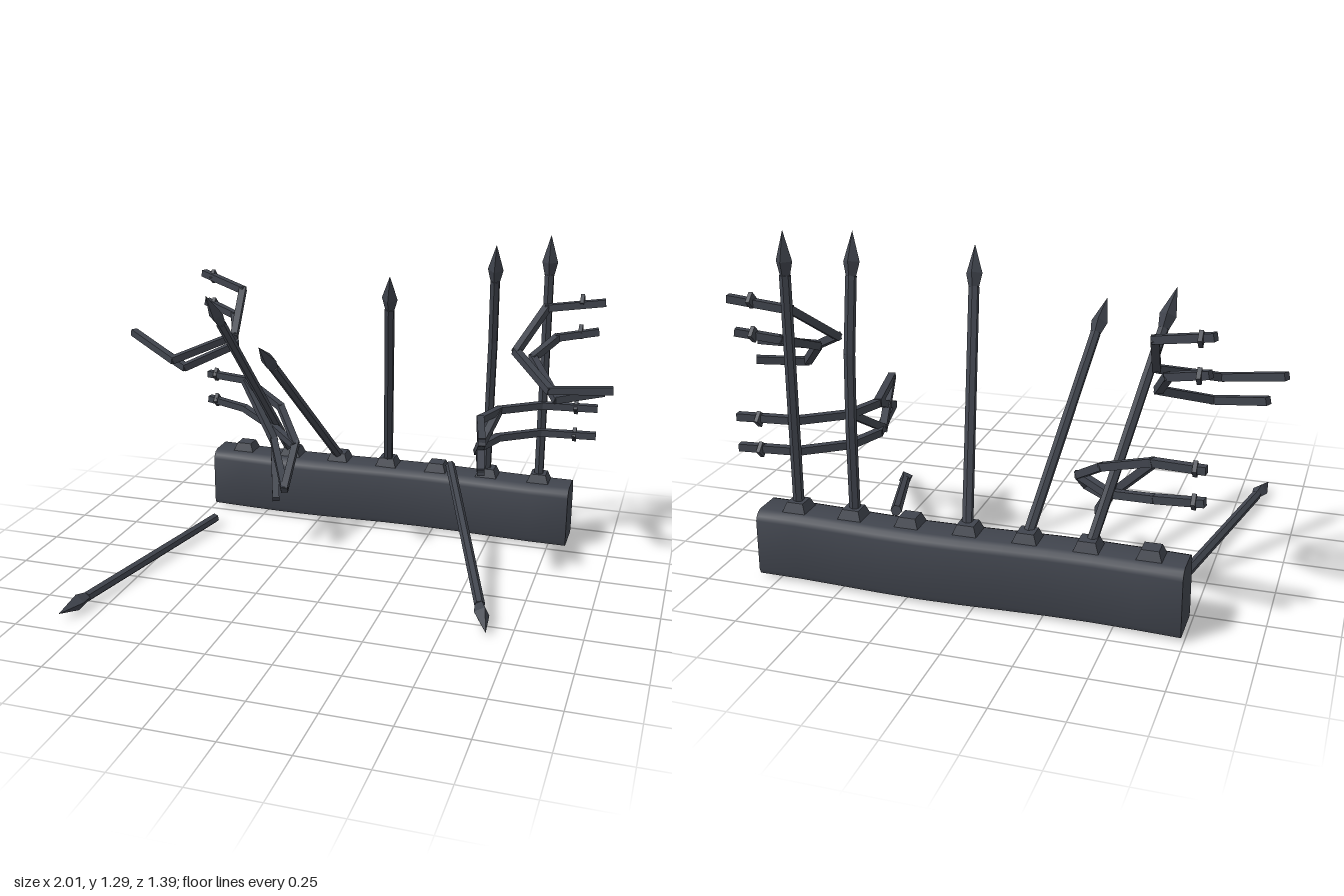
import * as THREE from 'three';
import { toCreasedNormals, mergeVertices } from 'three/addons/utils/BufferGeometryUtils.js';

const iron = new THREE.MeshStandardMaterial({ color: 0x40444d });
iron.name = 'darkIron';

const V = (p) => new THREE.Vector3(...p);
const UP = new THREE.Vector3(0, 1, 0);

function flat(geometry) {
  const g = geometry.index ? geometry.toNonIndexed() : geometry;
  g.computeVertexNormals();
  return g;
}

function part(name, geometry, parent) {
  const mesh = new THREE.Mesh(geometry, iron);
  mesh.name = name;
  parent.add(mesh);
  return mesh;
}

// Spear: hexagonal shaft along a path, with a four-sided head at the last point
function spear(path, parent) {
  const group = new THREE.Group();
  group.name = 'spear';
  const pts = path.map(V);
  const tip = pts[pts.length - 1];
  const dir = tip.clone().sub(pts[pts.length - 2]).normalize();
  const neck = tip.clone().addScaledVector(dir, -0.16);
  pts[pts.length - 1] = neck;
  for (let i = 0; i + 1 < pts.length; i++) {
    const d = pts[i + 1].clone().sub(pts[i]);
    const shaft = part('spearShaft', flat(new THREE.CylinderGeometry(0.02, 0.02, d.length() + 0.005, 6)), group);
    shaft.position.copy(pts[i]).addScaledVector(d, 0.5);
    shaft.quaternion.setFromUnitVectors(UP, d.normalize());
  }
  const profile = [[0, 0], [0.019, 0], [0.031, 0.052], [0, 0.16]].map((p) => new THREE.Vector2(...p));
  const head = part('spearHead', flat(new THREE.LatheGeometry(profile, 4)), group);
  head.position.copy(neck);
  head.quaternion.setFromUnitVectors(UP, dir);
  parent.add(group);
}

// Square bar bent through a list of points
function bar(name, path, parent, size = 0.028) {
  const group = new THREE.Group();
  group.name = name;
  const pts = path.map(V);
  for (let i = 0; i + 1 < pts.length; i++) {
    const d = pts[i + 1].clone().sub(pts[i]);
    const seg = part('barSegment', new THREE.BoxGeometry(size, size, d.length() + size * 0.5), group);
    seg.position.copy(pts[i]).addScaledVector(d, 0.5);
    seg.lookAt(pts[i + 1]);
  }
  parent.add(group);
}

// Long low wall with rounded top edges and a slight bend
function wallGeometry() {
  const w = 0.085, y0 = 0.012, y1 = 0.258, c = 0.035;
  const s = new THREE.Shape();
  s.moveTo(-w + 0.008, y0);
  s.lineTo(w - 0.008, y0);
  s.lineTo(w, y0 + 0.02);
  s.lineTo(w, y1 - c);
  s.quadraticCurveTo(w - 0.006, y1 - 0.006, w - c, y1);
  s.lineTo(-w + c, y1);
  s.quadraticCurveTo(-w + 0.006, y1 - 0.006, -w, y1 - c);
  s.lineTo(-w, y0 + 0.02);
  s.closePath();
  let g = new THREE.ExtrudeGeometry(s, { depth: 1.565, steps: 10, bevelEnabled: false, curveSegments: 3 });
  g.rotateY(Math.PI / 2);
  g.translate(-0.74, 0, -0.608);
  const p = g.attributes.position;
  for (let i = 0; i < p.count; i++) p.setZ(i, p.getZ(i) + 0.01 * Math.cos((p.getX(i) + 0.38) * 5.5));
  g.deleteAttribute('uv');
  g.deleteAttribute('normal');
  g = mergeVertices(g, 1e-4);
  return toCreasedNormals(g, 0.9);
}

export function createModel() {
  const root = new THREE.Group();
  root.name = 'brokenFence';
  part('wall', wallGeometry(), root);

  // Tapered sockets along the top, each with a small raised seat
  for (let i = 0; i < 7; i++) {
    const x = -0.615 + i * 0.2175;
    const foot = part('socket', flat(new THREE.CylinderGeometry(0.044, 0.066, 0.04, 4).rotateY(Math.PI / 4)), root);
    foot.position.set(x, 0.272, -0.607);
  }

  // Spears: fallen, leaning, bent and upright
  const spears = [
    [[-0.66, 0.028, -0.325], [-0.857, 0.028, 0.685]],
    [[-0.405, 0.27, -0.605], [-0.58, 1.065, -0.117]],
    [[-0.18, 0.27, -0.605], [-0.272, 0.94, 0.115]],
    [[0.04, 0.27, -0.605], [0.155, 1.178, -0.163]],
    [[0.317, 0.29, -0.585], [0.605, 0.055, 0.18], [0.662, 0.018, 0.34]],
    [[0.468, 0.27, -0.605], [0.474, 0.6, -0.592], [0.483, 0.85, -0.56], [0.493, 1.1, -0.5], [0.503, 1.265, -0.45]],
    [[0.69, 0.27, -0.605], [0.69, 1.287, -0.605]],
  ];
  spears.forEach((p) => spear(p, root));

  // Torn crossbars, bent forward out of the fence line
  const rails = {
    upperRightRail: [
      [[-0.79, 1.04, -0.608], [-0.59, 0.995, -0.54], [-0.565, 0.84, -0.37], [-0.76, 0.77, -0.185], [-0.99, 0.835, -0.31]],
      [[-0.78, 0.915, -0.608], [-0.64, 0.88, -0.56], [-0.585, 0.785, -0.43], [-0.75, 0.715, -0.275], [-0.94, 0.765, -0.375]],
    ],
    lowerRightRail: [
      [[-0.78, 0.59, -0.608], [-0.6, 0.585, -0.58], [-0.41, 0.51, -0.49], [-0.29, 0.405, -0.34], [-0.27, 0.28, -0.14]],
      [[-0.78, 0.475, -0.608], [-0.61, 0.455, -0.58], [-0.43, 0.41, -0.48], [-0.29, 0.4, -0.33]],
      [[-0.6, 0.575, -0.575], [-0.42, 0.375, -0.43], [-0.33, 0.21, -0.2]],
      [[-0.42, 0.375, -0.43], [-0.27, 0.28, -0.14]],
    ],
    upperLeftRail: [
      [[0.91, 1.03, -0.607], [0.69, 1.0, -0.58], [0.605, 0.86, -0.4], [0.765, 0.765, -0.235], [0.99, 0.775, -0.27]],
      [[0.89, 0.91, -0.607], [0.74, 0.885, -0.57], [0.665, 0.83, -0.44], [0.785, 0.715, -0.29], [0.945, 0.732, -0.375]],
    ],
    lowerLeftRail: [
      ...[0.592, 0.475].map((y) =>
        [[0.905, y, -0.607], [0.69, y, -0.585], [0.535, y, -0.47], [0.487, y, -0.33], [0.55, y + 0.006, -0.045]]),
      [[0.55, 0.598, -0.045], [0.49, 0.475, -0.28], [0.535, 0.592, -0.47]],
      [[0.55, 0.481, -0.045], [0.487, 0.592, -0.33]],
    ],
  };
  for (const [name, paths] of Object.entries(rails)) paths.forEach((p) => bar(name, p, root));

  // Diamond stops near the rail ends
  for (const x of [-0.75, 0.826]) {
    for (const y of [1.03, 0.907, 0.59, 0.473]) {
      const stop = part('railStop', new THREE.BoxGeometry(0.015, 0.042, 0.042), root);
      stop.position.set(x, y, -0.607);
      stop.rotation.x = Math.PI / 4;
    }
  }
  return root;
}
